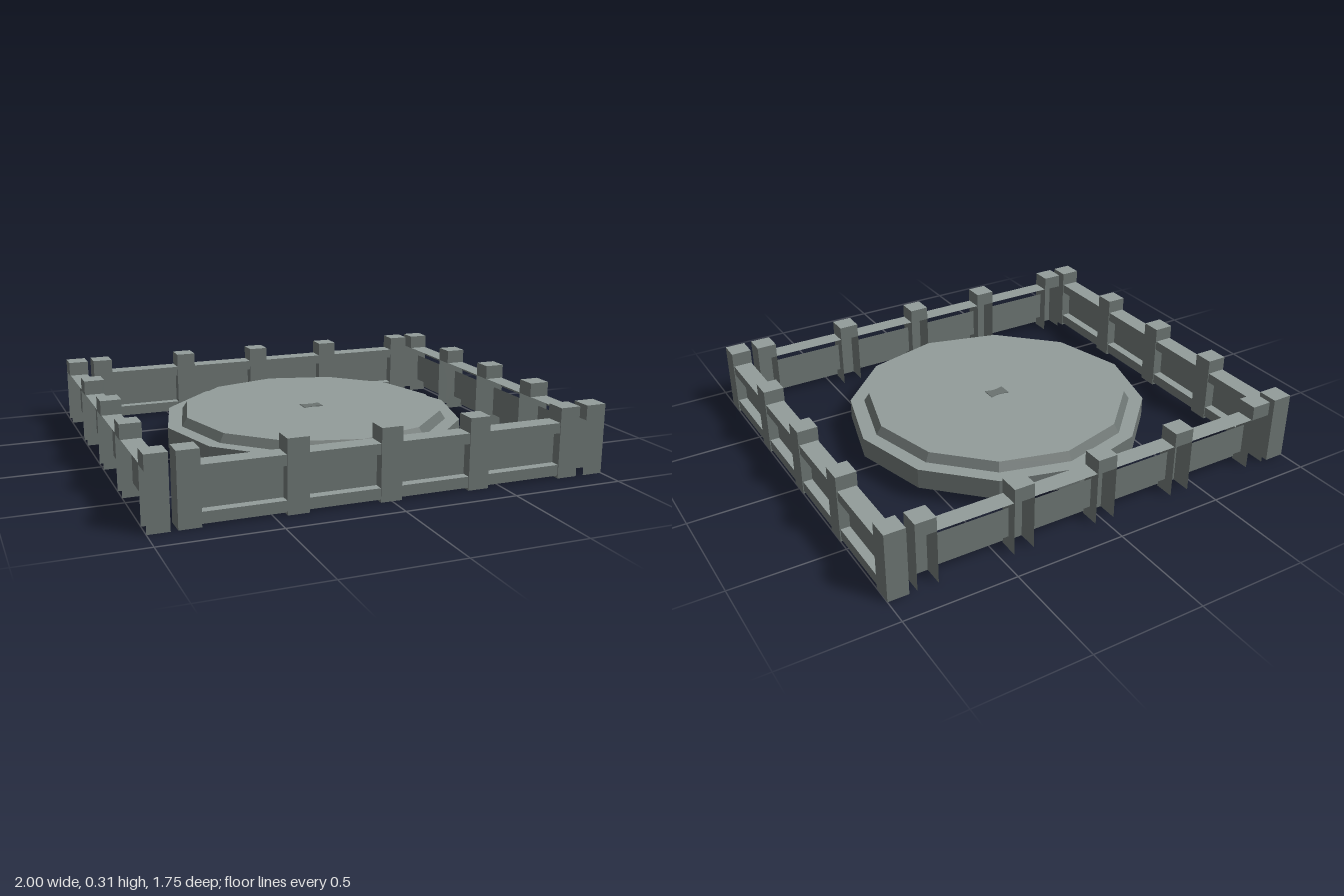
import * as THREE from 'three';

const makeMaterial = (name, color) => {
  const material = new THREE.MeshStandardMaterial({ color, side: THREE.DoubleSide, flatShading: true });
  material.name = name;
  return material;
};
const lightStone = makeMaterial('light grey stone', 0x929c9a);
const darkStone = makeMaterial('dark grey stone', 0x6a7270);

function add(parent, name, geometry, material) {
  const mesh = new THREE.Mesh(geometry, material);
  mesh.name = name;
  parent.add(mesh);
}

// Thin sheets: facing z, facing up, facing sideways
const upright = (x0, x1, y0, y1, z) =>
  new THREE.PlaneGeometry(x1 - x0, y1 - y0).translate((x0 + x1) / 2, (y0 + y1) / 2, z);
const level = (x0, x1, z0, z1, y) =>
  new THREE.PlaneGeometry(x1 - x0, z1 - z0).rotateX(-Math.PI / 2).translate((x0 + x1) / 2, y, (z0 + z1) / 2);
const side = (x, y0, y1, z0, z1, dir) =>
  new THREE.PlaneGeometry(z1 - z0, y1 - y0).rotateY(dir * Math.PI / 2).translate(x, (y0 + y1) / 2, (z0 + z1) / 2);

const HALF = 0.046, FACE = 0.042, POST_TOP = 0.31, RAIL_TOP = 0.245, PANEL = 0;
const POSTS = [-0.83, -0.397, 0, 0.397, 0.83];

// Hollow post, open at the back below the rail
function makePost(x) {
  const post = new THREE.Group();
  post.name = 'post';
  const a = x - HALF, b = x + HALF;
  add(post, 'postFront', upright(a, b, 0, POST_TOP, HALF), darkStone);
  add(post, 'postCap', level(a, b, -HALF, HALF, POST_TOP), lightStone);
  add(post, 'postLeftSide', side(b, 0, POST_TOP, -HALF, HALF, 1), darkStone);
  add(post, 'postRightSide', side(a, 0, POST_TOP, -HALF, HALF, -1), darkStone);
  add(post, 'postCapBack', upright(a - x, b - x, RAIL_TOP, POST_TOP, HALF).rotateY(Math.PI).translate(x, 0, 0), darkStone);
  return post;
}

// Wall facing +z: posts with recessed panels between rails
function makeWall(name) {
  const wall = new THREE.Group();
  wall.name = name;
  POSTS.forEach((x, i) => {
    wall.add(makePost(x));
    if (i === POSTS.length - 1) return;
    const a = x + HALF, b = POSTS[i + 1] - HALF;
    add(wall, 'topRailFront', upright(a, b, 0.2, RAIL_TOP, FACE), darkStone);
    add(wall, 'topRail', level(a, b, -FACE, FACE, RAIL_TOP), lightStone);
    add(wall, 'bottomRail', upright(a, b, 0.012, 0.06, FACE), darkStone);
    add(wall, 'recessLedge', level(a, b, PANEL, FACE, 0.06), lightStone);
    add(wall, 'recessPanel', upright(a, b, 0.06, 0.2, PANEL), darkStone);
  });
  return wall;
}

// Twelve-sided ring or disc from a short profile of [radius, height]
const turned = (profile) =>
  new THREE.LatheGeometry(profile.map(([r, y]) => new THREE.Vector2(r, y)), 12).toNonIndexed();

export function createModel() {
  const model = new THREE.Group();
  model.name = 'walledPlatform';

  // Four walls; opposite walls face the same way
  for (const [name, x, z, turn] of [
    ['frontWall', -0.003, 0.829, 0],
    ['backWall', -0.003, -0.829, 0],
    ['leftWall', 0.954, 0, Math.PI / 2],
    ['rightWall', -0.954, 0, Math.PI / 2],
  ]) {
    const wall = makeWall(name);
    wall.position.set(x, 0, z);
    wall.rotation.y = turn;
    model.add(wall);
  }

  // Stepped platform with a hollow skirt below
  const platform = new THREE.Group();
  platform.name = 'platform';
  platform.position.set(-0.008, 0, 0.008);
  add(platform, 'platformUnderside', turned([[0, 0.112], [0.688, 0.112]]), lightStone);
  add(platform, 'platformSkirt', turned([[0.69, 0.058], [0.69, 0.15]]), darkStone);
  add(platform, 'platformRim', turned([[0.69, 0.15], [0.625, 0.15]]), lightStone);
  add(platform, 'platformStep', turned([[0.625, 0.15], [0.6, 0.188]]), darkStone);
  add(platform, 'platformTop', turned([[0.6, 0.188], [0, 0.188]]), lightStone);

  // Small bow-tie pin through the centre
  const tie = new THREE.Shape([
    [-0.046, -0.033], [-0.015, -0.024], [0.015, -0.024], [0.046, -0.033],
    [0.046, 0.033], [0.015, 0.024], [-0.015, 0.024], [-0.046, 0.033],
  ].map(([x, y]) => new THREE.Vector2(x, y)));
  add(platform, 'centrePin',
    new THREE.ExtrudeGeometry(tie, { depth: 0.082, bevelEnabled: false }).rotateX(-Math.PI / 2).translate(0, 0.109, 0),
    darkStone);
  model.add(platform);
  return model;
}
